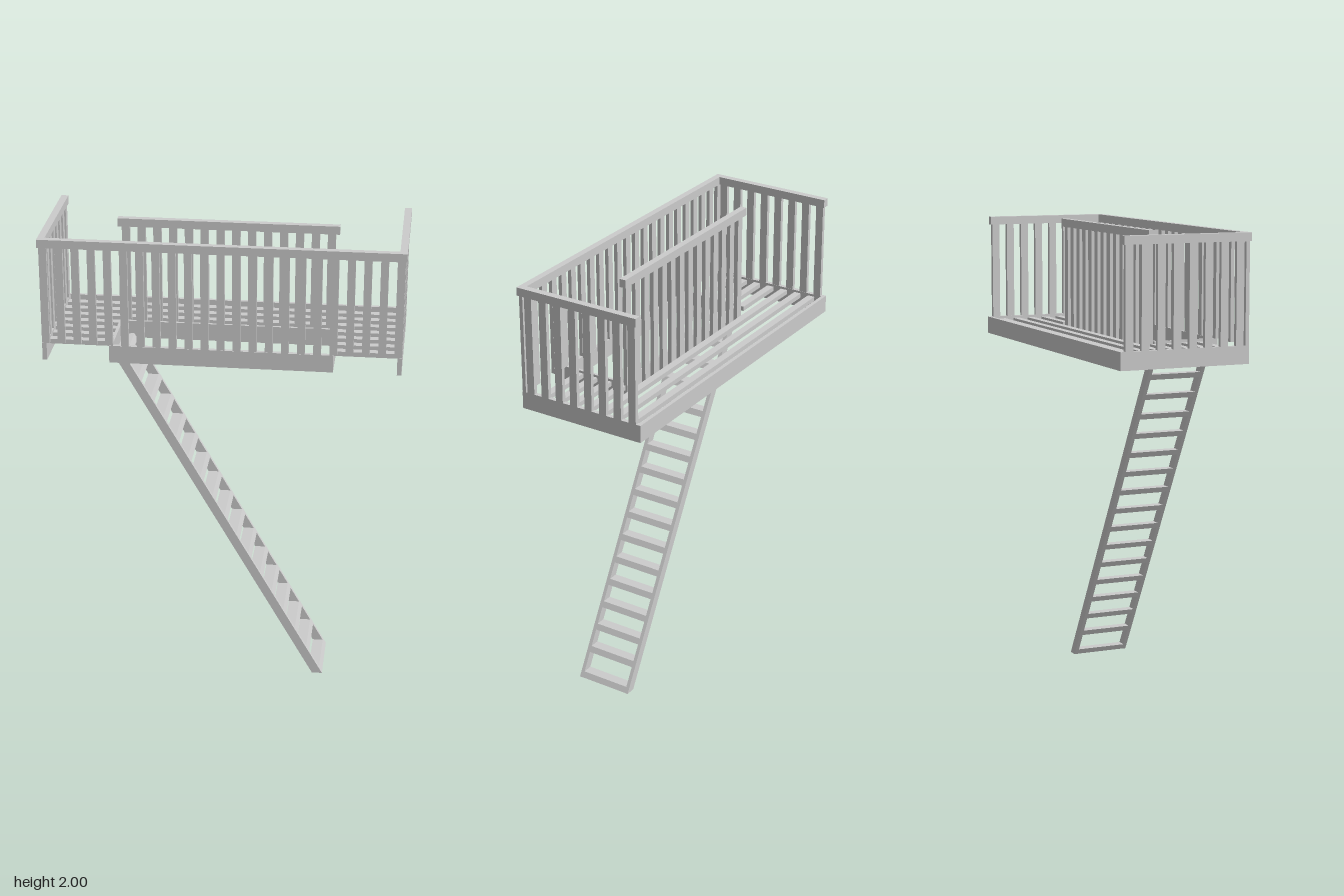
import * as THREE from 'three';

const material = new THREE.MeshStandardMaterial({ color: 0xcccccc, flatShading: true });

export function createModel() {
  const model = new THREE.Group();
  model.name = 'loftPlatform';

  const group = (name) => {
    const g = new THREE.Group();
    g.name = name;
    model.add(g);
    return g;
  };
  // Box given by its limits on each axis
  const box = (parent, name, x0, x1, y0, y1, z0, z1) => {
    const m = new THREE.Mesh(new THREE.BoxGeometry(x1 - x0, y1 - y0, z1 - z0), material);
    m.position.set((x0 + x1) / 2, (y0 + y1) / 2, (z0 + z1) / 2);
    m.name = name;
    parent.add(m);
  };

  const base = 1.47, deck = 1.545, railBase = 1.965, top = 2;
  const hole = 0.465; // half length of the ladder opening

  // Frame boards around the platform and the opening
  const frame = group('frame');
  box(frame, 'backBoard', -0.745, 0.745, base, deck, -0.288, -0.272);
  box(frame, 'frontBoard', -hole, hole, base, deck, 0.262, 0.28);
  box(frame, 'openingBackBoard', -hole, hole, base, deck, -0.01, 0.002);
  for (const s of [-1, 1]) {
    const [a, b] = s > 0 ? [0.727, 0.746] : [-0.746, -0.727];
    box(frame, 'endBoard', a, b, base, deck, -0.272, 0.28);
    const [c, d] = s > 0 ? [0.452, hole] : [-hole, -0.452];
    box(frame, 'openingEndBoard', c, d, base, deck, 0.002, 0.262);
  }

  // Slats: full length at the back, split beside the opening
  const slats = group('slats');
  for (let i = 0; i < 7; i++) {
    const z = -0.223 + i * 0.0697;
    if (z < -0.03) {
      box(slats, 'longSlat', -0.727, 0.727, 1.515, 1.535, z - 0.016, z + 0.016);
    } else {
      box(slats, 'shortSlat', hole, 0.727, 1.515, 1.535, z - 0.016, z + 0.016);
      box(slats, 'shortSlat', -0.727, -hole, 1.515, 1.535, z - 0.016, z + 0.016);
    }
  }

  // Front railing
  const front = group('frontRailing');
  box(front, 'topRail', -0.752, 0.752, railBase, top, 0.257, 0.285);
  for (let i = 0; i < 23; i++) {
    const x = -0.73 + i * 1.46 / 22;
    box(front, 'baluster', x - 0.016, x + 0.016, deck, railBase, 0.263, 0.279);
  }

  // Inner railing behind the opening
  const inner = group('innerRailing');
  box(inner, 'topRail', -hole, hole, railBase, top, -0.036, -0.008);
  for (let i = 0; i < 14; i++) {
    const x = (i - 6.5) * 1.46 / 22;
    box(inner, 'baluster', x - 0.017, x + 0.017, base + 0.005, railBase, -0.027, -0.01);
  }

  // Railings at both ends
  for (const s of [-1, 1]) {
    const end = group(s > 0 ? 'leftEndRailing' : 'rightEndRailing');
    const x = s * 0.737;
    box(end, 'topRail', x - 0.015, x + 0.015, railBase, top, -0.275, 0.257);
    for (let i = 0; i < 8; i++) {
      const z = -0.25 + i * 0.0697;
      box(end, 'baluster', x - 0.009, x + 0.009, deck, railBase, z - 0.017, z + 0.017);
    }
  }

  // Ladder: every piece is a box sheared along the slope
  const ladder = group('ladder');
  const sheared = (name, y0, y1, z0, z1) => {
    const g = new THREE.BoxGeometry(0.045, y1 - y0, z1 - z0);
    g.translate(0, (y0 + y1) / 2, (z0 + z1) / 2);
    const p = g.attributes.position;
    for (let i = 0; i < p.count; i++) p.setX(i, p.getX(i) + 0.425 - 0.571 * p.getY(i));
    g.computeVertexNormals();
    const m = new THREE.Mesh(g, material);
    m.name = name;
    ladder.add(m);
  };
  sheared('stringer', 0, 1.489, -0.005, 0.011);
  sheared('stringer', 0, 1.489, 0.236, 0.252);
  for (let i = 0; i < 17; i++) {
    const y = i ? 0.025 + i * 0.0907 : 0.0125;
    sheared('tread', y - 0.012, y + 0.012, 0.011, 0.236);
  }

  return model;
}
